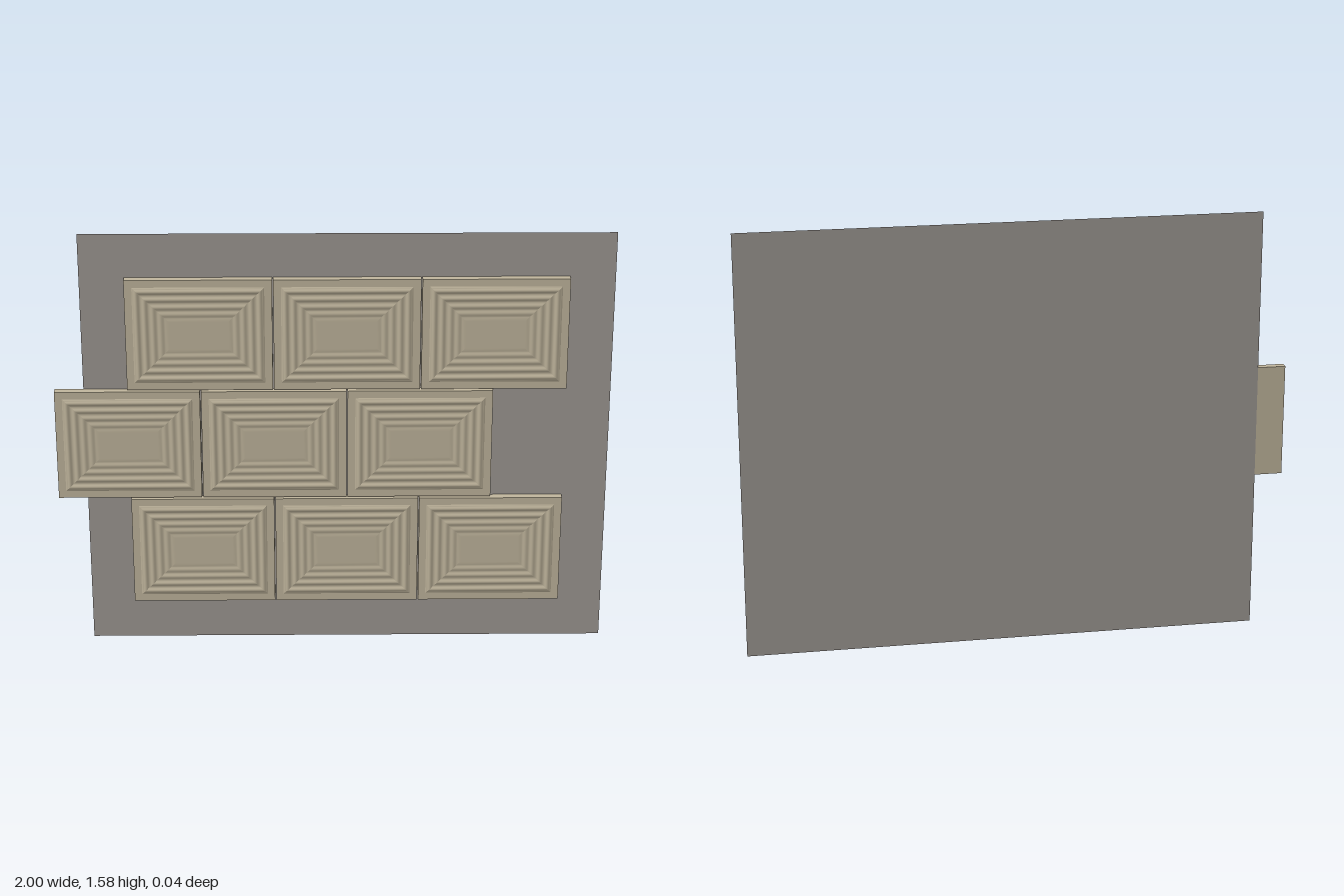
import * as THREE from 'three';

const TILE_W = 0.522, TILE_H = 0.414, STEP_X = 0.5265, STEP_Y = 0.422;
const BACK = -0.018, FACE = 0.0135;

// Section of the moulded face: [inset from tile edge, z], rounded ridges fading inward
function reliefProfile() {
  const points = [[0.026, FACE - 0.0005], [0.032, 0.0155]];
  const ridges = [[0.043, 0.0185], [0.072, 0.0182], [0.101, 0.0176], [0.128, 0.0168]];
  const steps = 8, pitch = 0.028;
  ridges.forEach(([inset, top]) => {
    for (let i = 1; i <= steps; i++) {
      const t = i / steps;
      const z = 0.0145 + (top - 0.0145) * Math.sin(Math.PI * t) ** 2;
      points.push([inset + (t - 0.5) * pitch, z]);
    }
  });
  points.push([0.148, 0.0155], [0.156, 0.0155]);
  return points;
}

// Sweep the section round the rectangle with mitred corners, then close the centre
function reliefGeometry() {
  const profile = reliefProfile();
  const corners = [[-1, -1], [1, -1], [1, 1], [-1, 1]];
  const pos = [], index = [];
  const put = ([sx, sy], [inset, z]) =>
    pos.push(sx * (TILE_W / 2 - inset), sy * (TILE_H / 2 - inset), z);
  for (let s = 0; s < 4; s++) {
    const base = pos.length / 3;
    profile.forEach((p, i) => {
      put(corners[s], p);
      put(corners[(s + 1) % 4], p);
      if (i > 0) {
        const a = base + (i - 1) * 2;
        index.push(a, a + 1, a + 3, a, a + 3, a + 2);
      }
    });
  }
  const centre = pos.length / 3;
  corners.forEach((c) => put(c, profile[profile.length - 1]));
  index.push(centre, centre + 1, centre + 2, centre, centre + 2, centre + 3);
  const geometry = new THREE.BufferGeometry();
  geometry.setAttribute('position', new THREE.Float32BufferAttribute(pos, 3));
  geometry.setIndex(index);
  geometry.computeVertexNormals();
  return geometry;
}

export function createModel() {
  const group = new THREE.Group();
  group.name = 'tiledWallPanel';
  const stone = new THREE.MeshStandardMaterial({ color: 0xc3b89f });
  stone.name = 'beigeStone';
  const grey = new THREE.MeshStandardMaterial({ color: 0x9f9a95, side: THREE.DoubleSide });
  grey.name = 'wallGrey';

  // Flat sheet behind the tiles
  const wall = new THREE.Mesh(new THREE.PlaneGeometry(1.897, 1.582), grey);
  wall.name = 'backingWall';
  wall.position.set(0.0515, 0.791, BACK - 0.0005);
  group.add(wall);

  // Three staggered courses of three tiles
  const body = new THREE.BoxGeometry(TILE_W, TILE_H, FACE - BACK);
  const relief = reliefGeometry();
  for (let row = 0; row < 3; row++) {
    const startX = row === 1 ? -1 : -0.737;
    for (let col = 0; col < 3; col++) {
      const tile = new THREE.Group();
      tile.name = `tile${row + 1}_${col + 1}`;
      const slab = new THREE.Mesh(body, stone);
      slab.name = 'tileBody';
      slab.position.z = (FACE + BACK) / 2;
      const face = new THREE.Mesh(relief, stone);
      face.name = 'tileRelief';
      tile.add(slab, face);
      tile.position.set(startX + TILE_W / 2 + col * STEP_X, 0.37 + row * STEP_Y, 0);
      group.add(tile);
    }
  }
  return group;
}
